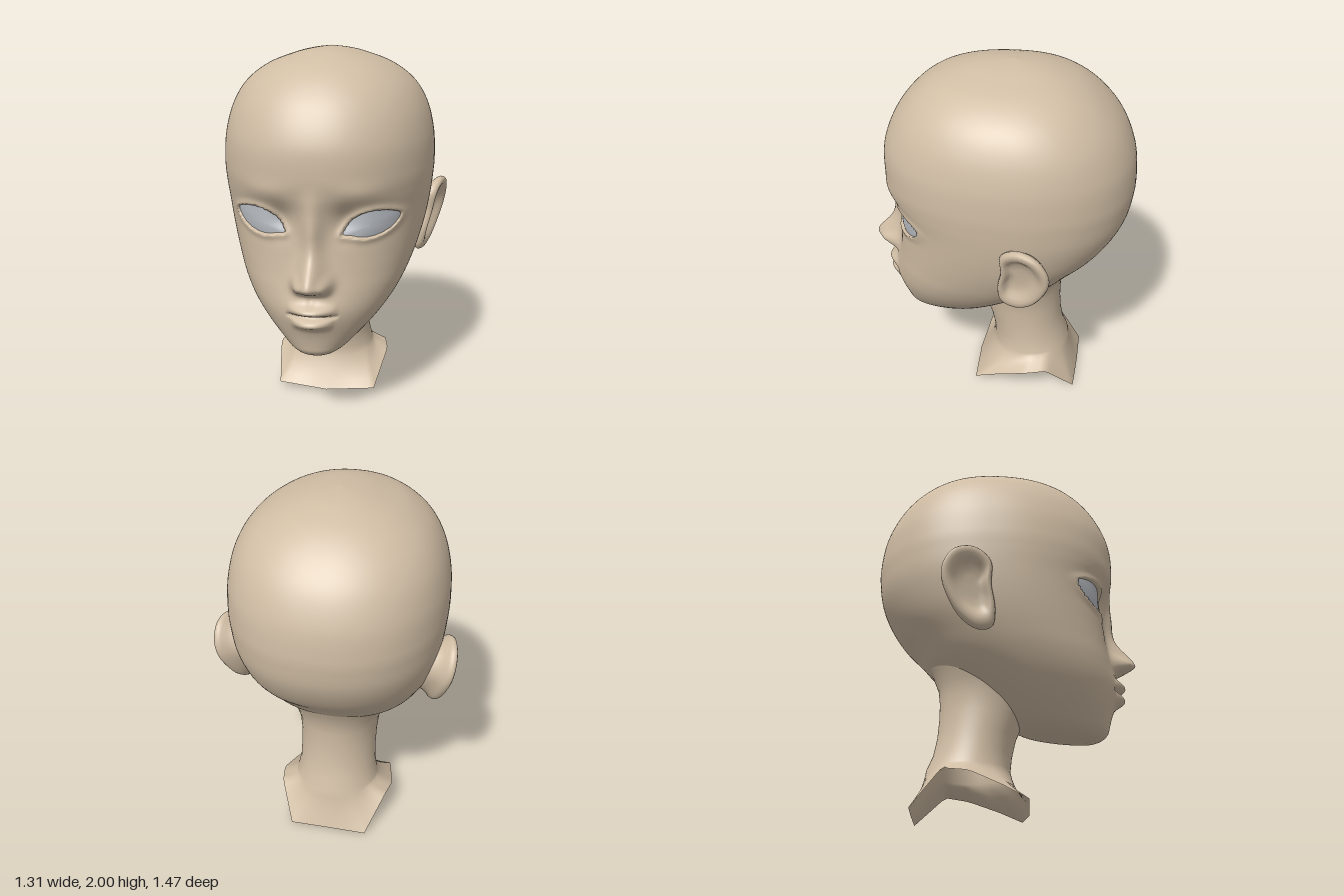
import * as THREE from 'three';

const { smoothstep, lerp, clamp } = THREE.MathUtils;
const bump = (v, c, s) => Math.exp(-(((v - c) / s) ** 2));

// Skins a list of closed rings of points; normals stay smooth across the seam.
function loft(rings, flip = false) {
  const n = rings[0].length, index = [];
  for (let j = 0; j < rings.length - 1; j++) {
    for (let i = 0; i < n; i++) {
      const a = j * n + i, b = j * n + (i + 1) % n, c = b + n, d = a + n;
      if (flip) index.push(a, c, b, a, d, c);
      else index.push(a, b, c, a, c, d);
    }
  }
  const geometry = new THREE.BufferGeometry();
  geometry.setAttribute('position', new THREE.Float32BufferAttribute(rings.flat(2), 3));
  geometry.setIndex(index);
  geometry.computeVertexNormals();
  return geometry;
}

// Closed smooth outline from 2D points.
function outline(points, count) {
  const curve = new THREE.CatmullRomCurve3(points.map(([a, b]) => new THREE.Vector3(a, b, 0)), true);
  return curve.getSpacedPoints(count).slice(0, count);
}

// Head cross-sections: height, half width, front z, back z, z of widest point
const SECTIONS = [
  [0.408, 0, 0.43, 0.43, 0.43], [0.425, 0.085, 0.505, 0.3, 0.41], [0.455, 0.15, 0.548, 0.12, 0.34],
  [0.5, 0.21, 0.562, 0.02, 0.27], [0.6, 0.31, 0.575, -0.12, 0.2], [0.7, 0.388, 0.583, -0.27, 0.14],
  [0.8, 0.447, 0.578, -0.41, 0.07], [0.9, 0.49, 0.565, -0.5, 0], [1.0, 0.523, 0.555, -0.597, -0.05],
  [1.1, 0.547, 0.552, -0.665, -0.08], [1.2, 0.564, 0.567, -0.71, -0.1], [1.3, 0.575, 0.597, -0.73, -0.1],
  [1.4, 0.58, 0.615, -0.735, -0.1], [1.55, 0.57, 0.608, -0.715, -0.1], [1.7, 0.53, 0.55, -0.65, -0.1],
  [1.82, 0.455, 0.46, -0.55, -0.09], [1.91, 0.335, 0.345, -0.43, -0.08], [1.965, 0.19, 0.2, -0.3, -0.08],
  [1.988, 0.095, 0.09, -0.2, -0.08], [2.0, 0, -0.08, -0.08, -0.08],
];
const spline = (pick) => new THREE.CatmullRomCurve3(
  SECTIONS.map((s) => new THREE.Vector3(...pick(s))), false, 'catmullrom');
const widths = spline(([y, w, , , c]) => [w, y, c]);
const depths = spline(([y, , f, b]) => [f, y, b]);
function section(t) {
  const p = widths.getPoint(t), q = depths.getPoint(t);
  return { y: p.y, w: Math.max(p.x, 0), mid: p.z, front: q.x, back: q.z };
}
const POWER = 2.2;

// Nose, lips, brows and sockets as an offset along z
function features(x, y) {
  const a = Math.abs(x);
  const tip = 0.1 * bump(y, 0.872, y < 0.872 ? 0.045 : 0.1);
  const bridge = 0.06 * smoothstep(y, 0.78, 0.84) * (1 - smoothstep(y, 1.1, 1.38));
  let d = (tip + bridge) * bump(a, 0, lerp(0.066, 0.052, smoothstep(y, 0.88, 1.05)));
  d += 0.055 * bump(a, 0.07, 0.034) * bump(y, 0.855, 0.042);
  d += 0.045 * bump(a, 0, 0.16) * bump(y, 0.69, 0.11);
  const lip = Math.max(0, 1 - (a / 0.135) ** 2), lower = Math.max(0, 1 - (a / 0.115) ** 2);
  d += 0.04 * bump(y, 0.722, 0.024) * lip + 0.04 * bump(y, 0.646, 0.028) * lower;
  d -= 0.03 * bump(y, 0.685, 0.01) * Math.sqrt(lip);
  d -= 0.012 * bump(a, 0, 0.018) * bump(y, 0.765, 0.03);
  d -= 0.03 * bump(a, 0.16, 0.06) * bump(y, 1.17, 0.08);
  d -= 0.015 * bump(a, 0.27, 0.14) * bump(y, 1.19, 0.09);
  d += 0.012 * bump(a, 0.24, 0.12) * bump(y, 1.32, 0.05);
  return d;
}

// Almond eye opening
const EYE = outline([[0.143, 1.1], [0.155, 1.135], [0.2, 1.19], [0.275, 1.225], [0.37, 1.222],
  [0.43, 1.19], [0.41, 1.14], [0.355, 1.1], [0.27, 1.08], [0.19, 1.09]], 72);

// Raised lids around the opening and a pocket inside it
function lids(x, y) {
  const a = Math.abs(x);
  if (a < 0.05 || a > 0.53 || y < 0.98 || y > 1.33) return 0;
  let d = 1, inside = false;
  EYE.forEach((p, i) => {
    const q = EYE[(i + 1) % EYE.length];
    d = Math.min(d, Math.hypot(p.x - a, p.y - y));
    if ((p.y > y) !== (q.y > y) && a < p.x + (q.x - p.x) * (y - p.y) / (q.y - p.y)) inside = !inside;
  });
  return inside ? 0.014 - 0.05 * smoothstep(d, 0, 0.016) : 0.014 * bump(d, 0, 0.022);
}

// Face depth at a point, without the lids
function faceZ(x, y) {
  let lo = 0, hi = 1;
  for (let k = 0; k < 30; k++) {
    const m = (lo + hi) / 2;
    if (section(m).y < y) lo = m; else hi = m;
  }
  const s = section(lo), r = clamp(Math.abs(x) / s.w, 0, 1);
  return s.mid + (s.front - s.mid) * (1 - r ** POWER) ** (1 / POWER) + features(x, y);
}

function headGeometry() {
  const rows = 228, cols = 168, rings = [];
  for (let j = 0; j <= rows; j++) {
    const s = section(j / rows), ring = [];
    for (let i = 0; i < cols; i++) {
      const u = -1 + 2 * i / cols, angle = Math.PI * (0.6 * u + 0.4 * u ** 3);
      const sn = Math.sin(angle), cs = Math.cos(angle);
      const x = s.w * Math.sign(sn) * Math.abs(sn) ** (2 / POWER);
      const reach = Math.abs(cs) ** (2 / POWER);
      let z = s.mid + (cs > 0 ? s.front - s.mid : s.back - s.mid) * reach;
      if (cs > 0) z += (features(x, s.y) + lids(x, s.y)) * smoothstep(cs, 0, 0.35);
      ring.push([x, s.y, z]);
    }
    rings.push(ring);
  }
  return loft(rings);
}

// Neck rings: height, half width, front z, back z
const NECK = [[0.24, 0.238, 0.02, -0.425], [0.32, 0.222, 0.028, -0.392], [0.42, 0.219, 0.05, -0.373],
  [0.52, 0.221, 0.09, -0.366], [0.62, 0.232, 0.12, -0.366], [0.7, 0.258, 0.12, -0.376],
  [0.78, 0.29, 0.1, -0.408], [0.86, 0.31, 0.05, -0.45]];
// Open lower edge of the neck: angle, x, y, z
const HEM = [[0, 0, 0.02, 0.12], [60, 0.28, 0.04, 0.1], [80, 0.305, 0.1, -0.03], [97, 0.335, 0.165, -0.2],
  [122, 0.31, 0.18, -0.33], [150, 0.22, 0.005, -0.49], [180, 0, 0.012, -0.495]];

function hemPoint(degrees) {
  const a = Math.abs(degrees);
  const k = Math.max(1, HEM.findIndex((h) => h[0] >= a));
  const p = HEM[k - 1], q = HEM[k], t = (a - p[0]) / (q[0] - p[0]);
  return [Math.sign(degrees) * lerp(p[1], q[1], t), lerp(p[2], q[2], t), lerp(p[3], q[3], t)];
}

function neckGeometry() {
  const cols = 72, angles = Array.from({ length: cols }, (_, i) => -180 + 360 * i / cols);
  const tube = NECK.map(([y, w, f, b]) => angles.map((deg) => {
    const t = deg * Math.PI / 180;
    return [w * Math.sin(t), y, (f + b) / 2 + (f - b) / 2 * Math.cos(t)];
  }));
  // Flare from the lowest ring out to the hem
  const flare = [1, 0.8, 0.6, 0.4, 0.2].map((t) => angles.map((deg, i) => {
    const top = tube[0][i], hem = hemPoint(deg), k = t ** 1.4;
    return [lerp(top[0], hem[0], k), lerp(top[1], hem[1], t), lerp(top[2], hem[2], k)];
  }));
  return loft([...flare, ...tube]);
}

function eyeGeometry(side) {
  const rings = [0, 0.2, 0.4, 0.6, 0.8, 0.92, 1.03].map((s) => EYE.map((p) => {
    const x = lerp(0.285, p.x, s), y = lerp(1.15, p.y, s);
    return [side * x, y, faceZ(x, y) - 0.008 + 0.014 * (1 - s * s)];
  }));
  return loft(rings, side < 0);
}

// Ear outline in z and y, then rings from the bowl over the rim to the hidden root
const EAR = outline([[-0.1, 1.19], [-0.145, 1.24], [-0.21, 1.26], [-0.29, 1.235], [-0.345, 1.16],
  [-0.355, 1.08], [-0.315, 0.97], [-0.25, 0.88], [-0.165, 0.838], [-0.095, 0.86], [-0.078, 0.95], [-0.1, 1.08]], 56);
const EAR_RINGS = [[0, -0.028], [0.25, -0.028], [0.45, -0.024], [0.58, -0.01], [0.68, 0.006], [0.78, 0.017],
  [0.88, 0.019], [0.95, 0.013], [0.99, 0.002], [1, -0.012], [0.96, -0.028], [0.86, -0.045], [0.74, -0.08], [0.66, -0.15]];

function earGeometry(side) {
  const rings = EAR_RINGS.map(([s, out]) => EAR.map((p) => {
    const z = lerp(-0.2, p.x, s), y = lerp(1.07, p.y, s);
    const x = 0.56 + 0.27 * (-0.1 - z) + 0.21 * (y - 1.1) + out;
    return [side * x, y, z];
  }));
  return loft(rings, side < 0);
}

export function createModel() {
  const skin = new THREE.MeshStandardMaterial({ color: 0xd0bda4, side: THREE.DoubleSide });
  skin.name = 'skin';
  const eyeGrey = new THREE.MeshStandardMaterial({ color: 0xbcc0c6 });
  eyeGrey.name = 'eyeGrey';

  const model = new THREE.Group();
  model.name = 'headBust';
  const add = (name, geometry, material) => {
    const mesh = new THREE.Mesh(geometry, material);
    mesh.name = name;
    model.add(mesh);
  };
  add('head', headGeometry(), skin);
  add('neck', neckGeometry(), skin);
  for (const [label, side] of [['left', 1], ['right', -1]]) {
    add(label + 'Eye', eyeGeometry(side), eyeGrey);
    add(label + 'Ear', earGeometry(side), skin);
  }
  return model;
}
